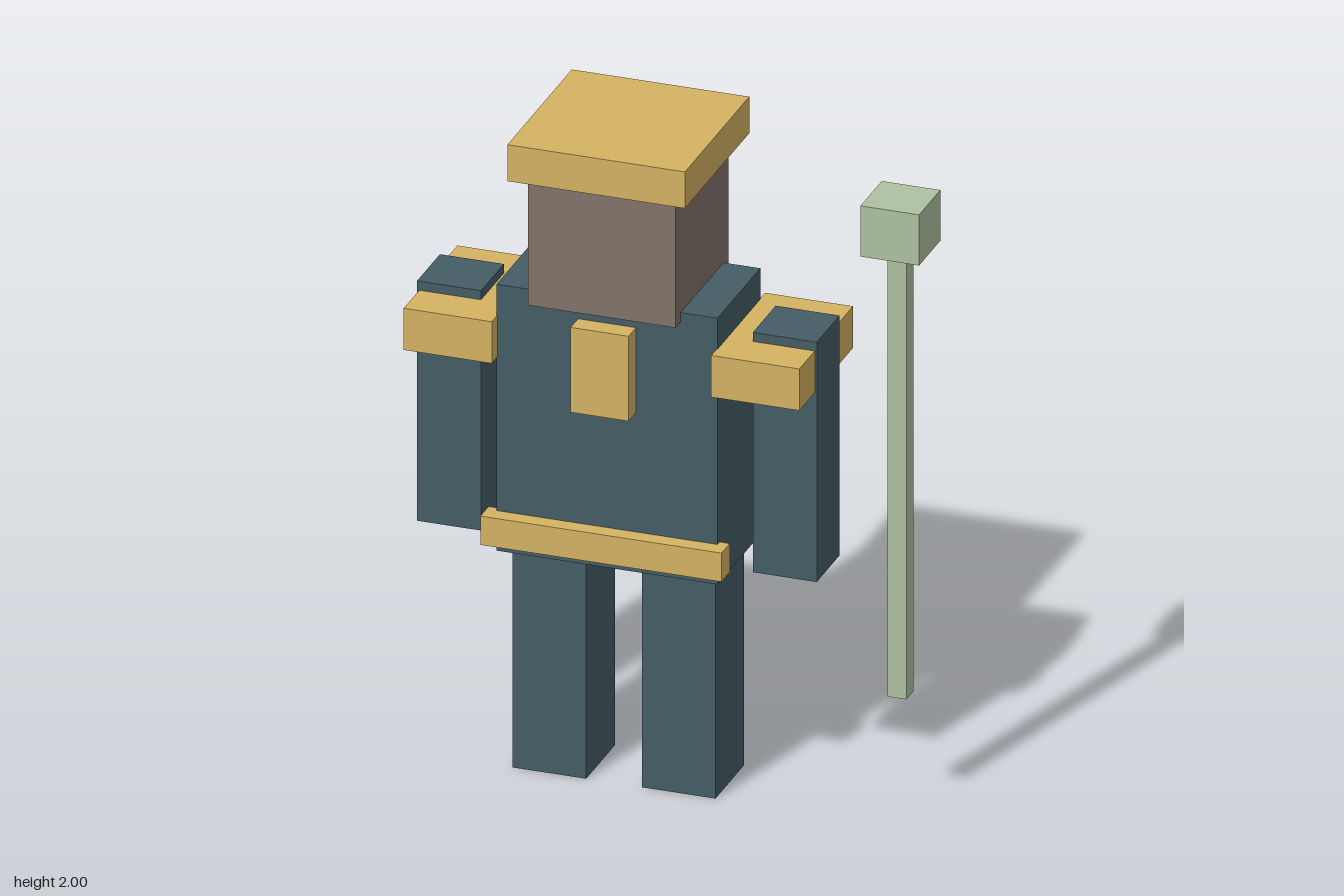
import * as THREE from 'three';

const material = (color) => new THREE.MeshStandardMaterial({ color, flatShading: true });

export function createModel() {
  const model = new THREE.Group();
  model.name = 'blockFigure';

  const cloth = material(0x455d66);
  const gold = material(0xd4b262);
  const skin = material(0x82736a);
  const wood = material(0xaec1a0);

  // Box placed by the middle of its base
  const block = (parent, name, mat, [w, h, d], [x, y, z]) => {
    const mesh = new THREE.Mesh(new THREE.BoxGeometry(w, h, d), mat);
    mesh.name = name;
    mesh.position.set(x, y + h / 2, z);
    parent.add(mesh);
  };

  // Body, set off-centre to leave room for the staff
  const body = new THREE.Group();
  body.name = 'body';
  body.position.x = -0.154;
  model.add(body);

  block(body, 'torso', cloth, [0.66, 0.825, 0.352], [0, 0.693, 0]);
  block(body, 'head', skin, [0.44, 0.4, 0.44], [0, 1.49, 0]);
  block(body, 'hat', gold, [0.53, 0.113, 0.53], [0, 1.887, 0]);
  block(body, 'belt', gold, [0.72, 0.089, 0.068], [0, 0.728, 0.192]);
  block(body, 'chestPlate', gold, [0.173, 0.263, 0.066], [0, 1.187, 0.204]);

  // Mirrored limbs and shoulder guards
  for (const [side, s] of [['left', 1], ['right', -1]]) {
    block(body, side + 'Leg', cloth, [0.22, 0.693, 0.236], [s * 0.193, 0, 0]);
    block(body, side + 'Arm', cloth, [0.191, 0.743, 0.188], [s * 0.501, 0.707, 0]);
    block(body, side + 'ShoulderGuard', gold, [0.263, 0.129, 0.442], [s * 0.459, 1.293, 0]);
  }

  // Staff floating beside the left arm
  const staff = new THREE.Group();
  staff.name = 'staff';
  staff.position.x = 0.658;
  model.add(staff);
  block(staff, 'staffShaft', wood, [0.057, 1.4, 0.057], [0, 0.353, 0]);
  block(staff, 'staffHead', wood, [0.175, 0.157, 0.175], [0, 1.733, 0]);

  return model;
}
